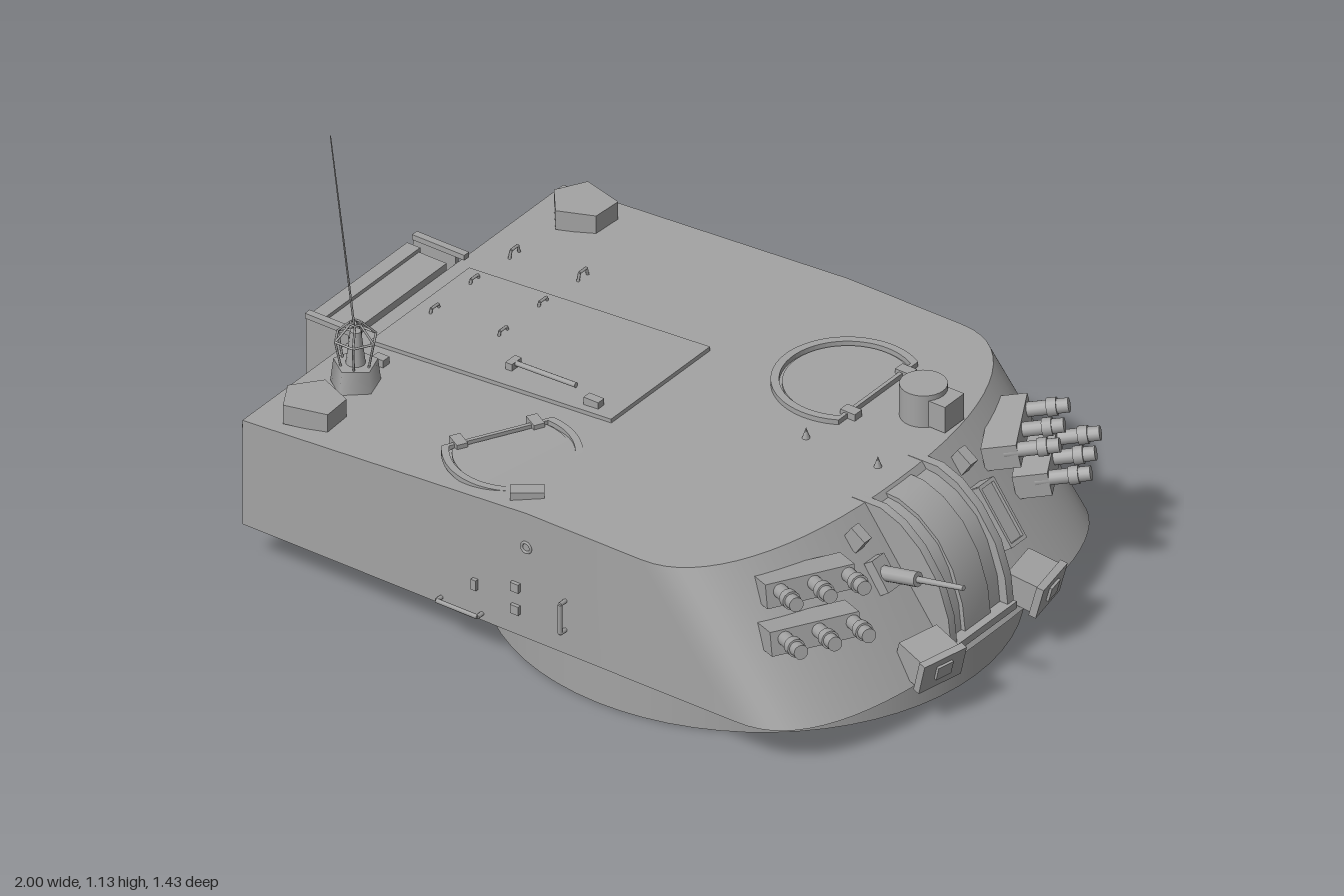
import * as THREE from 'three';
import { toCreasedNormals } from 'three/addons/utils/BufferGeometryUtils.js';

export function createModel() {
  const root = new THREE.Group();
  root.name = 'turret';
  const grey = new THREE.MeshStandardMaterial({ color: 0xa3a3a3, side: THREE.DoubleSide });
  grey.name = 'plainGrey';

  const V = (x, y, z) => new THREE.Vector3(x, y, z);
  const roofY = x => 0.475 + 0.07 * Math.min(x, 0);
  function add(name, geo, x = 0, y = 0, z = 0, parent = root) {
    const m = new THREE.Mesh(geo, grey);
    m.name = name;
    m.position.set(x, y, z);
    parent.add(m);
    return m;
  }
  const box = (name, w, h, d, x, y, z, parent) => add(name, new THREE.BoxGeometry(w, h, d), x, y, z, parent);
  function rod(name, a, b, r, r2 = r, sides = 10) {
    const m = add(name, new THREE.CylinderGeometry(r2, r, a.distanceTo(b), sides));
    m.position.copy(a).lerp(b, 0.5);
    m.quaternion.setFromUnitVectors(V(0, 1, 0), b.clone().sub(a).normalize());
    return m;
  }
  const chain = (name, pts, r) => pts.slice(1).forEach((p, i) => rod(name, pts[i], p, r, r, 6));
  const poly = pts => new THREE.Shape(pts.map(p => new THREE.Vector2(...p)));
  const extrude = (shape, depth) => new THREE.ExtrudeGeometry(shape, { depth, bevelEnabled: false, curveSegments: 24 });

  // Main shell: paired rows along x, straight at the back and rounded at the sloping front
  const zc = 0.017, hw = 0.665, rows = [[-0.87, hw, -0.87, hw], [0, hw, 0, hw]];
  for (let i = 0; i <= 16; i++) {
    const a = i / 16 * Math.PI / 2, s = Math.sin(a), c = i === 16 ? 0 : Math.cos(a);
    rows.push([0.35 + 0.295 * s ** 0.9, hw * c ** 0.9, 0.63 + 0.28 * s ** 0.77, hw * c ** 0.77]);
  }
  const pos = [];
  const quad = (a, b, c, d) => [a, b, c, a, c, d].forEach(p => pos.push(p.x, p.y, p.z));
  const corner = ([tx, tw, bx, bw]) => ({
    tl: V(tx, roofY(tx), zc + tw), tr: V(tx, roofY(tx), zc - tw), bl: V(bx, 0.11, zc + bw), br: V(bx, 0.11, zc - bw)
  });
  const cs = rows.map(corner);
  quad(cs[0].br, cs[0].bl, cs[0].tl, cs[0].tr);
  for (let i = 0; i < cs.length - 1; i++) {
    const p = cs[i], q = cs[i + 1];
    quad(p.tl, q.tl, q.tr, p.tr);
    quad(p.bl, p.br, q.br, q.bl);
    quad(p.bl, q.bl, q.tl, p.tl);
    quad(q.br, p.br, p.tr, q.tr);
  }
  const shell = new THREE.BufferGeometry();
  shell.setAttribute('position', new THREE.Float32BufferAttribute(pos, 3));
  add('shell', toCreasedNormals(shell, 0.5));

  // Open turret ring
  const ring = add('turretRing', new THREE.CylinderGeometry(0.676, 0.676, 0.11, 64, 1, true), 0.214, 0.055, 0.025);
  ring.scale.z = 0.965;

  // Mantlet: cheeks, recessed rotor and raised centre strip
  const mantlet = (name, off, z0, z1) => add(name, toCreasedNormals(extrude(poly([
    [0.6, 0.14], [0.6, 0.47 + off / 2], [0.69, 0.465 + off], [0.75, 0.44 + off], [0.81, 0.39 + off],
    [0.855 + off, 0.32], [0.885 + off, 0.23], [0.895 + off, 0.14]]), z1 - z0), 0.6), 0, 0, z0);
  mantlet('mantletCheek', 0.012, -0.115, -0.09);
  mantlet('mantletCheek', 0.012, 0.12, 0.145);
  mantlet('mantletRotor', -0.012, -0.09, 0.12);
  mantlet('mantletStrip', 0, -0.035, 0.07);
  box('mantletSill', 0.06, 0.02, 0.26, 0.885, 0.145, 0.015);

  // Grenade launchers: two banks of three tubes on each side
  for (const s of [1, -1]) {
    const dir = V(0.84, 0.19, 0.5 * s).normalize();
    for (const [x, y, z] of [[0.755, 0.445, 0.565], [0.81, 0.355, 0.62]]) {
      for (let i = 0; i < 3; i++) {
        const tip = V(x + 0.045 * i, y, zc + s * (z - 0.08 * i));
        const at = d => tip.clone().addScaledVector(dir, -d);
        rod('launcherTube', at(0.14), tip, 0.019, 0.019, 14);
        rod('launcherCollar', at(0.055), at(0.03), 0.024, 0.024, 14);
      }
      const b = box('launcherBracket', 0.09, 0.065, 0.24, x - 0.085, y - 0.037, zc + s * (z - 0.145));
      b.rotation.set(0, -s * 0.52, 0.2);
    }
    // Lamp housings low on the front
    const lamp = new THREE.Group();
    lamp.name = 'lampHousing';
    lamp.position.set(0.9, 0.165, zc + s * 0.215);
    lamp.rotation.set(0, -s * 0.2, -0.25);
    root.add(lamp);
    box('lampBox', 0.1, 0.08, 0.125, 0, 0, 0, lamp);
    box('lampRim', 0.02, 0.09, 0.14, 0.045, 0, 0, lamp);
    box('lampFace', 0.008, 0.04, 0.05, 0.058, 0.005, 0, lamp);
    // Front sight brackets
    const bracket = box('frontBracket', 0.05, 0.05, 0.03, 0.685, 0.435, zc + s * 0.22);
    bracket.rotation.z = -0.6;
    // Pentagonal corner boxes on the rear roof
    const lid = add('cornerBox', extrude(poly([[-0.075, 0], [-0.03, 0.08], [0.085, 0.05], [0.08, -0.035], [-0.015, -0.075]]), 0.055),
      -0.74, 0.425, zc + s * 0.552);
    lid.rotation.x = -Math.PI / 2;
    lid.scale.y = -s;
    // Low handrails and rear lifting eyes
    const zs = zc + s * hw;
    chain('sideHandrail', [V(-0.26, 0.13, zs), V(-0.26, 0.13, zs + s * 0.02), V(-0.135, 0.13, zs + s * 0.02), V(-0.135, 0.13, zs)], 0.006);
    const eye = add('liftingEye', new THREE.TorusGeometry(0.025, 0.007, 8, 16), -0.88, 0.36, zc + s * 0.6);
    eye.rotation.x = Math.PI / 2;
  }

  // Machine gun on the left and vertical sight on the right
  rod('gunBarrel', V(0.68, 0.335, 0.22), V(1, 0.4, 0.22), 0.011, 0.007);
  rod('gunSleeve', V(0.69, 0.337, 0.22), V(0.86, 0.372, 0.22), 0.02);
  const port = box('gunPort', 0.03, 0.09, 0.05, 0.75, 0.345, 0.22);
  port.rotation.z = 0.6;
  const sight = new THREE.Group();
  sight.name = 'frontSight';
  sight.position.set(0.775, 0.305, -0.207);
  sight.rotation.z = 0.63;
  root.add(sight);
  box('sightBody', 0.05, 0.16, 0.05, 0, 0, 0, sight);
  for (const s of [1, -1]) {
    box('sightSide', 0.07, 0.17, 0.008, 0, 0, s * 0.028, sight);
    box('sightEnd', 0.07, 0.01, 0.06, 0, s * 0.082, 0, sight);
  }

  // Periscope head
  add('periscopeHead', new THREE.CylinderGeometry(0.06, 0.06, 0.095, 28), 0.52, 0.52, -0.262);
  box('periscopeWindow', 0.07, 0.075, 0.08, 0.58, 0.515, -0.262);

  // Hatches: D-shaped rim and lid with hinges on the straight edge
  function hatch(x, z, r, turn) {
    const g = new THREE.Group();
    g.name = 'hatch';
    g.position.set(x, roofY(x), z);
    g.rotation.set(0, turn, x < 0 ? 0.05 : 0);
    root.add(g);
    const d = (q, P) => new P().absarc(0, 0, q, 1.05, Math.PI * 2 - 1.05, false).closePath();
    const flat = (name, shape, h) => { add(name, extrude(shape, h), 0, 0, 0, g).rotation.x = -Math.PI / 2; };
    const rim = d(r, THREE.Shape);
    rim.holes.push(d(r * 0.89, THREE.Path));
    flat('hatchRim', rim, 0.014);
    flat('hatchLid', d(r * 0.85, THREE.Shape), 0.006);
    for (const s of [1, -1]) box('hatchHinge', 0.045, 0.022, 0.03, r * 0.5, 0.008, s * r * 0.6, g);
  }
  hatch(0.285, -0.265, 0.19, 0);
  hatch(-0.2, 0.47, 0.175, 2.65);

  // Engine-style roof panel with grab loops, latch rod and small fittings
  box('roofPanel', 0.74, 0.014, 0.41, -0.45, roofY(-0.45) + 0.004, 0.015).rotation.z = 0.07;
  for (const x of [-0.77, -0.56]) for (const z of [-0.31, -0.145, 0.02]) {
    const y = roofY(x);
    chain('roofGrab', [V(x, y, z - 0.02), V(x, y + 0.022, z - 0.014), V(x, y + 0.022, z + 0.014), V(x, y, z + 0.02)], 0.004);
  }
  rod('latchRod', V(-0.45, 0.468, 0.14), V(-0.24, 0.483, 0.15), 0.007);
  box('latchFoot', 0.02, 0.03, 0.04, -0.44, 0.46, 0.14);
  box('latchBlock', 0.045, 0.03, 0.025, -0.16, 0.48, 0.185);
  box('roofBlock', 0.085, 0.022, 0.04, -0.05, 0.48, 0.61).rotation.y = 0.65;
  box('roofStud', 0.035, 0.03, 0.025, -0.74, 0.43, 0.285);
  for (const x of [0.35, 0.57]) add('roofCleat', new THREE.ConeGeometry(0.012, 0.035, 8), x, 0.488, -0.005);

  // Antenna with wire guard
  const ax = -0.735, az = 0.395;
  add('antennaBase', new THREE.CylinderGeometry(0.058, 0.066, 0.065, 5), ax, 0.455, az);
  add('antennaMount', new THREE.CylinderGeometry(0.014, 0.026, 0.1, 12), ax, 0.53, az);
  rod('antennaWhip', V(ax, 0.56, az), V(-0.805, 1.13, 0.405), 0.003, 0.0015, 6);
  for (let i = 0; i < 6; i++) {
    const at = (r, y, k = i) => V(ax + r * Math.cos(k * Math.PI / 3), y, az + r * Math.sin(k * Math.PI / 3));
    chain('antennaGuard', [at(0.04, 0.485), at(0.055, 0.56), at(0.015, 0.602), at(0.015, 0.602, i + 1)], 0.003);
    rod('antennaGuard', at(0.055, 0.56), at(0.055, 0.56, i + 1), 0.003);
  }

  // Right-side storage tube: hollow diamond section with two bands
  const diamond = (r, h) => {
    const s = poly([[r, 0], [0, r], [-r, 0], [0, -r]]);
    s.holes.push(poly([[h, 0], [0, h], [-h, 0], [0, -h]]));
    return s;
  };
  const tube = (name, r, h, len, x) => { add(name, extrude(diamond(r, h), len), x, 0.232, -0.678).rotation.y = Math.PI / 2; };
  tube('storageTube', 0.036, 0.022, 0.98, -0.76);
  for (const x of [-0.445, -0.115]) tube('storageBand', 0.041, 0.034, 0.018, x);

  // Left-side loops and clips
  const zl = 0.682;
  chain('leftHandle', [V(0.12, 0.265, zl), V(0.12, 0.265, zl + 0.022), V(0.12, 0.18, zl + 0.022), V(0.12, 0.18, zl)], 0.006);
  for (const y of [0.185, 0.25]) box('leftClip', 0.025, 0.025, 0.02, -0.03, y, zl);
  box('leftClip', 0.015, 0.03, 0.02, -0.155, 0.21, zl);
  add('leftRing', new THREE.TorusGeometry(0.014, 0.004, 6, 16), 0, 0.375, zl);

  // Rear bin: box with raised rim between two side plates
  box('rearBin', 0.1, 0.29, 0.39, -0.92, 0.29, 0.03);
  for (const s of [1, -1]) {
    box('binRimSide', 0.04, 0.31, 0.025, -0.975, 0.29, 0.03 + s * 0.188);
    box('binRimBar', 0.04, 0.025, 0.4, -0.975, 0.29 + s * 0.143, 0.03);
    const zp = 0.015 + s * 0.222;
    box('binSidePlate', 0.13, 0.32, 0.012, -0.935, 0.29, zp);
    box('binTopTab', 0.16, 0.015, 0.02, -0.92, 0.445, zp);
    for (const x of [-0.94, -0.895])
      chain('binHandle', [V(x, 0.32, zp), V(x, 0.32, zp + s * 0.025), V(x, 0.275, zp + s * 0.025), V(x, 0.275, zp)], 0.005);
  }
  // Tools carried low across the back
  [[-0.95, -0.45, 0.37], [-0.922, -0.45, 0.38], [-0.893, -0.54, 0.43]].forEach(([x, z0, z1]) => {
    rod('rearTool', V(x, 0.145, z0), V(x, 0.145, -0.21), 0.012);
    rod('rearTool', V(x, 0.145, 0.24), V(x, 0.145, z1), 0.012);
  });
  for (const z of [-0.3, 0.3]) box('toolBracket', 0.1, 0.012, 0.025, -0.915, 0.13, z);
  return root;
}
